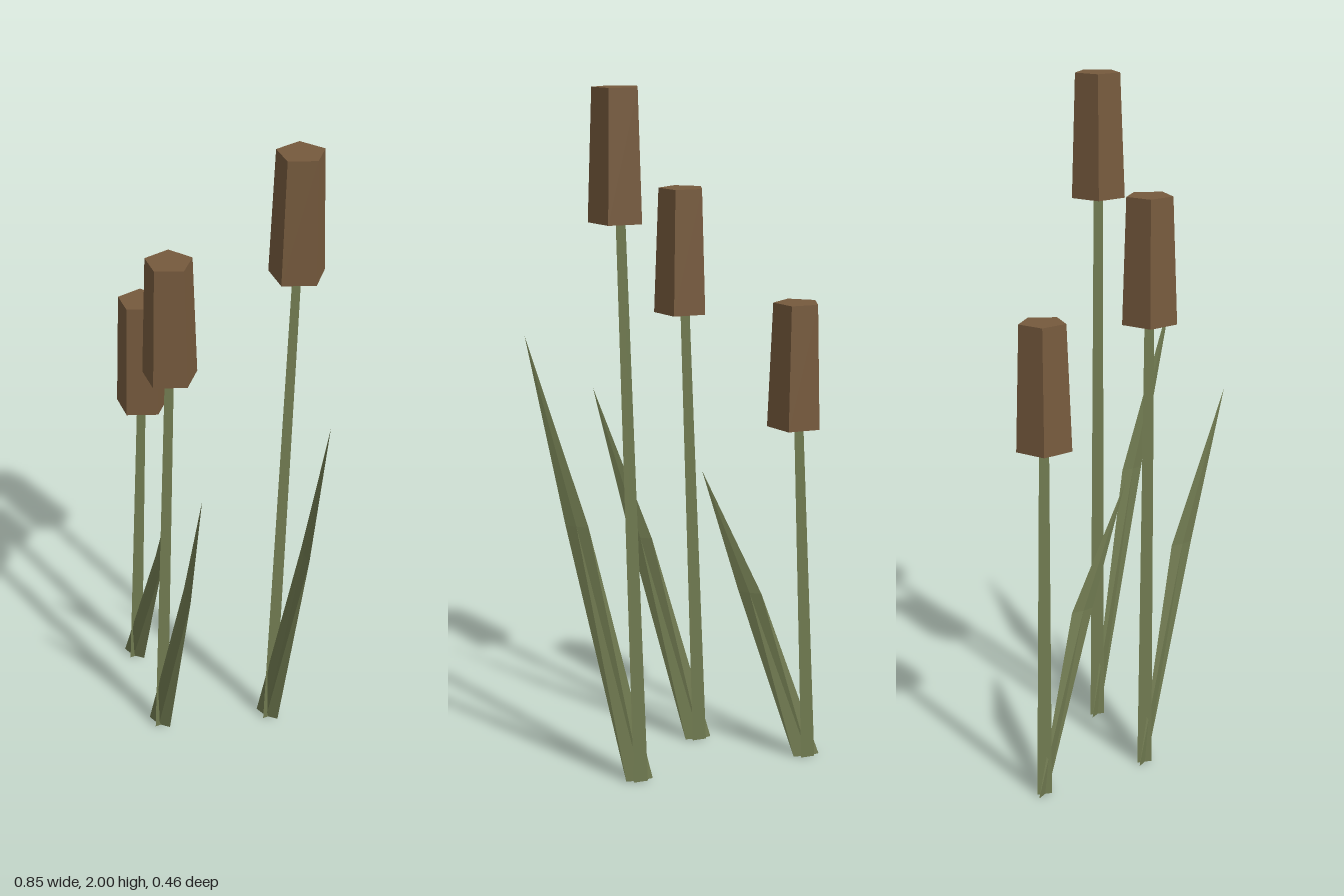
import * as THREE from 'three';

const brown = new THREE.MeshStandardMaterial({ color: 0x765a3d });
brown.name = 'seed head brown';
const green = new THREE.MeshStandardMaterial({ color: 0x707a50 });
green.name = 'reed green';

const HEAD = 0.36; // seed head height
const LEAN = 0.055; // how far a stem foot sits beside its head

function flatMesh(name, geometry, material) {
  const flat = geometry.index ? geometry.toNonIndexed() : geometry;
  flat.computeVertexNormals();
  const mesh = new THREE.Mesh(flat, material);
  mesh.name = name;
  return mesh;
}

// Blade with a diamond section: foot, widest point, then a single tip
function leafGeometry(height) {
  const mid = height * 0.588;
  const points = [
    // foot: left, front, right, back
    [-0.096, 0, 0], [-0.052, 0, 0.011], [-0.015, 0, 0.002], [-0.058, 0, -0.006],
    // widest section, twisted towards the tip
    [0.077, mid, 0.05], [0.102, mid, 0.077], [0.132, mid, 0.095], [0.107, mid, 0.07],
    [0.222, height, 0.168],
  ];
  const index = [0, 2, 1, 0, 3, 2];
  for (let i = 0; i < 4; i++) {
    const j = (i + 1) % 4;
    index.push(i, j, 4 + j, i, 4 + j, 4 + i, 4 + i, 4 + j, 8);
  }
  const geometry = new THREE.BufferGeometry();
  geometry.setAttribute('position', new THREE.Float32BufferAttribute(points.flat(), 3));
  geometry.setIndex(index);
  return geometry;
}

function createReed(x, z, height) {
  const reed = new THREE.Group();
  reed.name = 'reed';
  reed.position.set(x, 0, z);

  // Five-sided seed head
  const head = flatMesh('seedHead', new THREE.CylinderGeometry(0.068, 0.081, HEAD, 5), brown);
  head.position.y = height - HEAD / 2;

  // Three-sided stem, sheared so that it leans into the head
  const length = height - HEAD / 2;
  const stemGeometry = new THREE.CylinderGeometry(0.015, 0.025, length, 3);
  stemGeometry.translate(0, length / 2, 0);
  stemGeometry.applyMatrix4(new THREE.Matrix4().makeShear(0, 0, LEAN / length, 0, 0, 0));
  const stem = flatMesh('stem', stemGeometry, green);
  stem.position.x = -LEAN;

  const leaf = flatMesh('leaf', leafGeometry(length * 0.721), green);
  reed.add(head, stem, leaf);
  return reed;
}

export function createModel() {
  const model = new THREE.Group();
  model.name = 'reeds';
  const places = [[-0.331, -0.167, 1.39], [-0.066, 0.06, 1.7], [0.2, -0.167, 2]];
  for (const [x, z, height] of places) model.add(createReed(x, z, height));
  return model;
}
